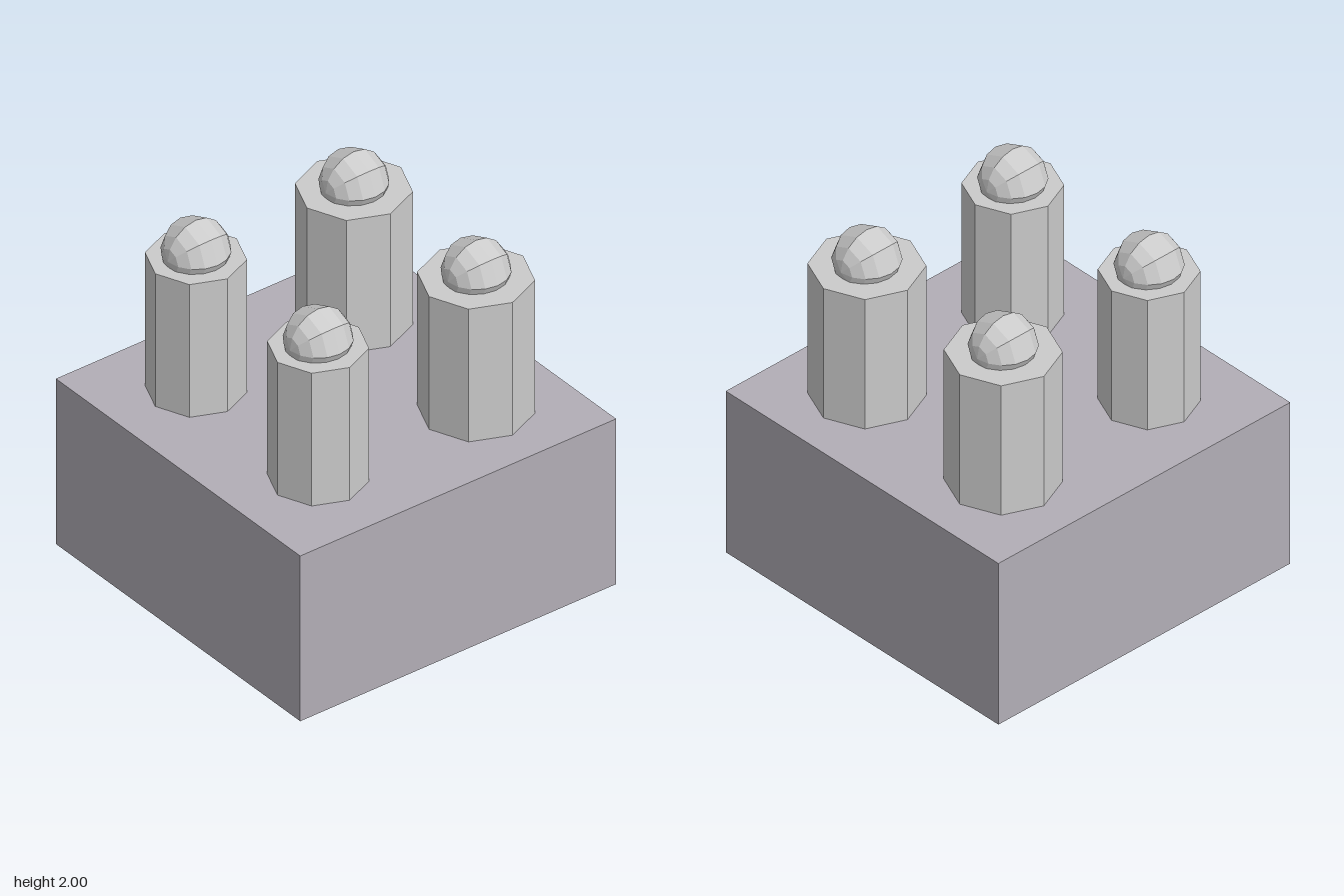
import * as THREE from 'three';

const BASE_SIZE = 1.98;
const BASE_TOP = 0.99;
const COLUMN_TOP = 1.785;
const DOME_RADIUS = 0.177;
const SPACING = 0.495;

export function createModel() {
  const model = new THREE.Group();
  model.name = 'columnBlock';

  const baseMaterial = new THREE.MeshStandardMaterial({ color: 0xb2aeb6, flatShading: true });
  const grey = new THREE.MeshStandardMaterial({ color: 0xcccccc, flatShading: true });

  // Square base block
  const base = new THREE.Mesh(new THREE.BoxGeometry(BASE_SIZE, BASE_TOP, BASE_SIZE), baseMaterial);
  base.name = 'base';
  base.position.y = BASE_TOP / 2;
  model.add(base);

  // Low-poly ball with its poles along z
  const ballGeometry = new THREE.SphereGeometry(DOME_RADIUS, 8, 8).rotateX(Math.PI / 2);

  // Octagonal column topped by a half-sunk ball
  function addPost(name, x, z, radius) {
    const post = new THREE.Group();
    post.name = name;
    post.position.set(x, 0, z);

    const height = COLUMN_TOP - BASE_TOP;
    const column = new THREE.Mesh(new THREE.CylinderGeometry(radius, radius, height, 8), grey);
    column.name = 'column';
    column.position.y = BASE_TOP + height / 2;

    const ball = new THREE.Mesh(ballGeometry, grey);
    ball.name = 'ball';
    ball.position.y = 2 - DOME_RADIUS;

    post.add(column, ball);
    model.add(post);
  }

  // Slimmer posts at the front, thicker ones at the back
  for (const [side, sx] of [['Left', 1], ['Right', -1]]) {
    addPost('front' + side + 'Post', sx * SPACING, SPACING, 0.255);
    addPost('back' + side + 'Post', sx * SPACING, -SPACING, 0.295);
  }

  return model;
}
